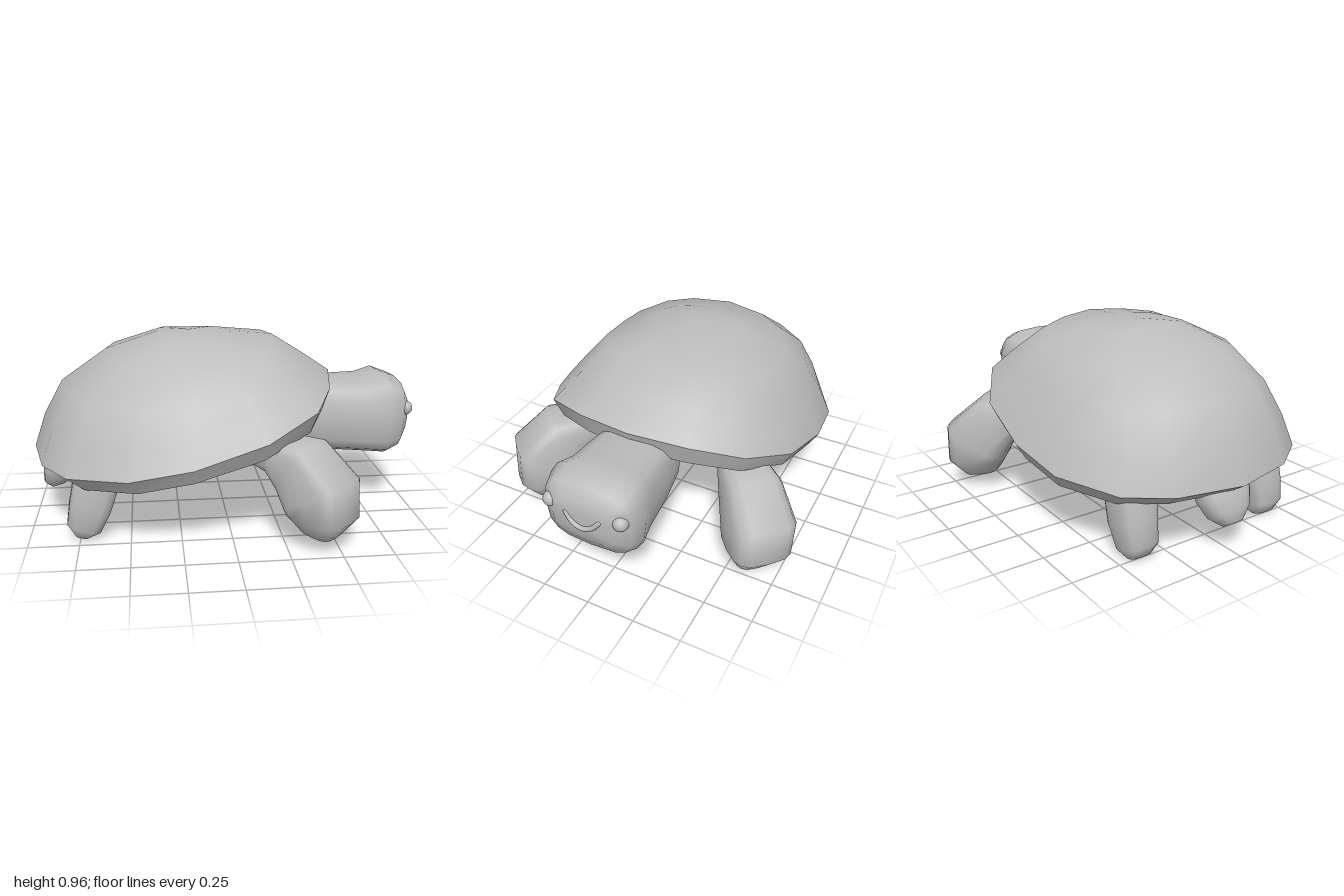
import * as THREE from 'three';

const V = (x, y, z) => new THREE.Vector3(x, y, z);

// Skin over closed rings of points, with optional end centres
function skin(rings, start, end) {
  const n = rings[0].length, pts = rings.flat(), idx = [];
  const last = (rings.length - 1) * n;
  for (let j = 0; j < n; j++) {
    const k = (j + 1) % n;
    for (let i = 0; i < last; i += n) {
      idx.push(i + j, i + k, i + n + k, i + j, i + n + k, i + n + j);
    }
    if (start) idx.push(k, j, pts.length);
    if (end) idx.push(last + j, last + k, pts.length + (start ? 1 : 0));
  }
  if (start) pts.push(start);
  if (end) pts.push(end);
  const g = new THREE.BufferGeometry().setFromPoints(pts);
  g.setIndex(idx);
  g.computeVertexNormals();
  return g;
}

// Rounded-square limb; each section is [x, y, z, half width along u, half depth]
function limb(sections, u, power = 0.62, n = 16) {
  const centres = sections.map((s) => V(s[0], s[1], s[2]));
  const round = (v) => Math.sign(v) * Math.pow(Math.abs(v), power);
  const rings = sections.map((s, i) => {
    const t = centres[Math.min(i + 1, centres.length - 1)].clone()
      .sub(centres[Math.max(i - 1, 0)]).normalize();
    const v = t.cross(u).normalize();
    return Array.from({ length: n }, (_, j) => {
      const a = (j / n) * Math.PI * 2;
      return centres[i].clone()
        .addScaledVector(u, round(Math.cos(a)) * s[3])
        .addScaledVector(v, round(Math.sin(a)) * s[4]);
    });
  });
  return skin(rings, centres[0], centres[centres.length - 1]);
}

// Sixteen-sided shell outline, its height curving from back to side to front
const CX = -0.2;
const BACK = [[1, 0], [0.91, 0.455], [0.74, 0.74], [0.375, 0.955], [0, 1]];
const FRONT = [[1, 0], [0.925, 0.41], [0.78, 0.755], [0.45, 0.955]];
const OUTLINE = [
  ...FRONT.map(([x, z]) => [x, -z]),
  ...BACK.slice(1).reverse().map(([x, z]) => [-x, -z]),
  ...BACK.map(([x, z]) => [-x, z]),
  ...FRONT.slice(1).reverse(),
];
function shellRing([back, front, half, yBack, ySide, yFront]) {
  const b = (yFront - yBack) / 2, c = (yFront + yBack) / 2 - ySide;
  return OUTLINE.map(([p, q]) => V(
    CX + p * (p > 0 ? front - CX : CX - back),
    ySide + b * p + c * p * p,
    q * half,
  ));
}

export function createModel() {
  const model = new THREE.Group();
  model.name = 'turtle';
  const skinGrey = new THREE.MeshStandardMaterial({ color: 0xbcbcbc });
  skinGrey.name = 'light grey';

  const add = (name, geometry, x = 0, y = 0, z = 0) => {
    const m = new THREE.Mesh(geometry, skinGrey);
    m.name = name;
    m.position.set(x, y, z);
    model.add(m);
    return m;
  };

  // Shell: dome, sloping rim band and flat belly
  const rim = [-1, 0.57, 0.71, 0.355, 0.445, 0.73];
  const lower = [-0.89, 0.535, 0.665, 0.28, 0.367, 0.61];
  const dome = [
    rim,
    [-0.94, 0.51, 0.65, 0.53, 0.56, 0.77],
    [-0.84, 0.42, 0.567, 0.71, 0.692, 0.83],
    [-0.61, 0.26, 0.465, 0.87, 0.827, 0.93],
    [-0.34, 0.0, 0.245, 0.957, 0.932, 0.95],
  ];
  add('shellDome', skin(dome.map(shellRing), null, V(-0.18, 0.963, 0)));
  add('shellRim', skin([lower, rim].map(shellRing)));
  add('belly', skin([shellRing(lower)], V(CX, 0.375, 0)));

  // Neck and head in one piece
  const side = V(0, 0, 1);
  add('head', limb([
    [0.24, 0.49, 0, 0.13, 0.07],
    [0.38, 0.5, 0, 0.185, 0.15],
    [0.55, 0.5, 0, 0.21, 0.19],
    [0.75, 0.495, 0, 0.23, 0.2],
    [0.85, 0.505, 0, 0.253, 0.217],
    [0.93, 0.503, 0, 0.228, 0.183],
    [0.97, 0.5, 0, 0.165, 0.11],
    [0.98, 0.5, 0, 0.08, 0.05],
  ], side));

  // Smile
  const smile = new THREE.CatmullRomCurve3([
    V(0.975, 0.54, 0.088), V(0.983, 0.5, 0.052), V(0.987, 0.482, 0),
    V(0.983, 0.5, -0.052), V(0.975, 0.54, -0.088),
  ]);
  add('mouth', new THREE.TubeGeometry(smile, 24, 0.012, 8));
  for (const p of [smile.getPoint(0), smile.getPoint(1)]) {
    add('mouthCorner', new THREE.SphereGeometry(0.012, 8, 6), p.x, p.y, p.z);
  }

  // Tail
  add('tail', limb([
    [-0.83, 0.35, 0, 0.14, 0.075],
    [-0.865, 0.26, 0, 0.14, 0.085],
    [-0.905, 0.19, 0, 0.11, 0.07],
    [-0.937, 0.143, 0, 0.05, 0.035],
  ], side, 0.75));

  // Paired eyes and legs
  for (const s of [1, -1]) {
    const label = s > 0 ? 'Left' : 'Right';
    add('eye' + label, new THREE.SphereGeometry(0.038, 16, 12), 0.947, 0.557, s * 0.183);

    const across = V(Math.SQRT1_2, 0, -s * Math.SQRT1_2);
    add('frontLeg' + label, limb([
      [0.12, 0.425, s * 0.36, 0.09, 0.05],
      [0.23, 0.43, s * 0.45, 0.125, 0.09],
      [0.325, 0.395, s * 0.54, 0.15, 0.15],
      [0.41, 0.275, s * 0.625, 0.17, 0.175],
      [0.42, 0.17, s * 0.625, 0.16, 0.155],
      [0.42, 0.078, s * 0.605, 0.1, 0.09],
    ], across));

    add('backLeg' + label, limb([
      [-0.64, 0.4, s * 0.375, 0.1, 0.11],
      [-0.665, 0.28, s * 0.38, 0.105, 0.115],
      [-0.695, 0.17, s * 0.39, 0.1, 0.107],
      [-0.73, 0.06, s * 0.39, 0.087, 0.088],
      [-0.745, 0.012, s * 0.39, 0.055, 0.035],
    ], side));
  }
  return model;
}
